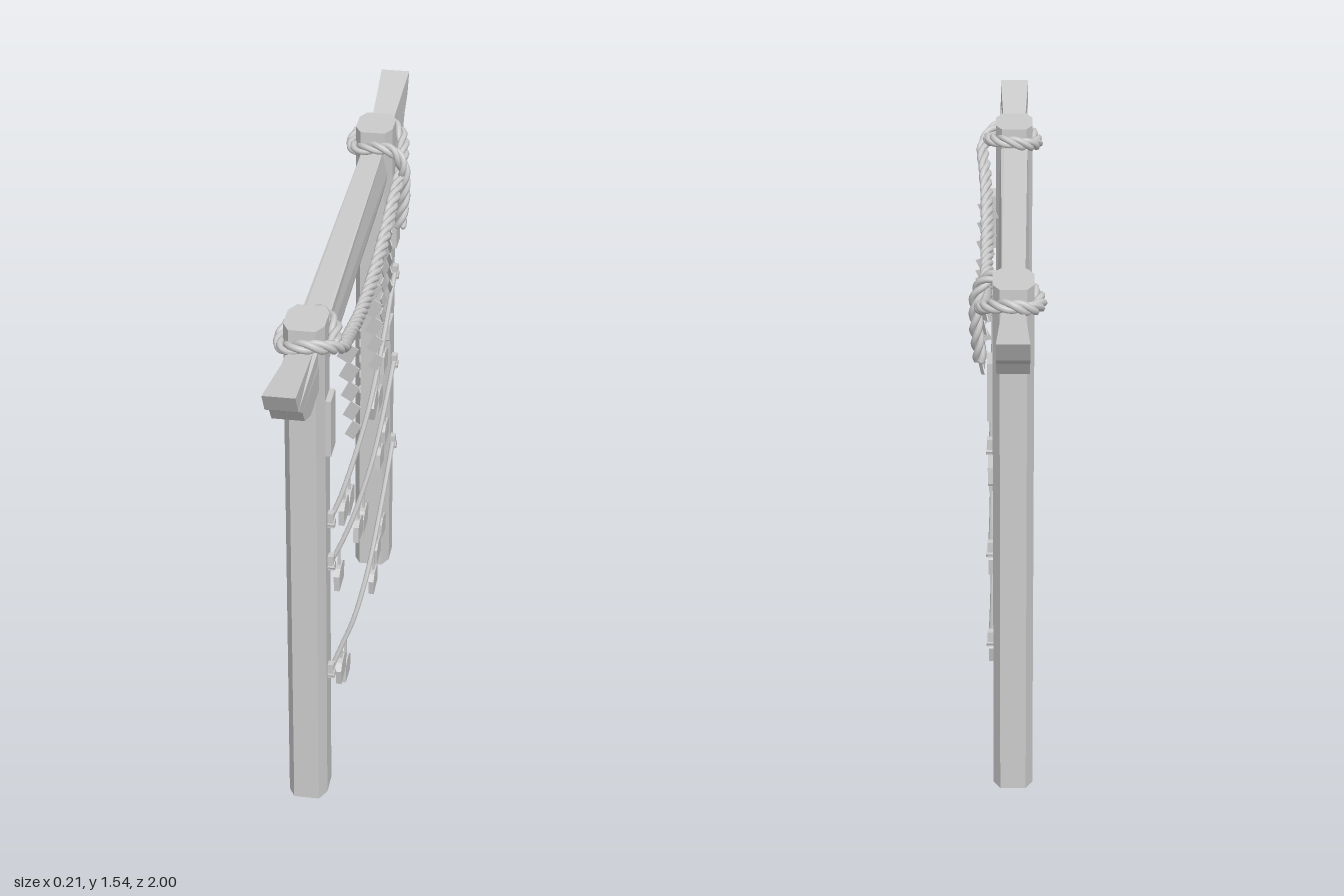
import * as THREE from 'three';

const V = (x, y, z) => new THREE.Vector3(x, y, z);
const CX = -0.015; // centre of posts and beam in x

export function createModel() {
  const root = new THREE.Group();
  const flat = new THREE.MeshStandardMaterial({ color: 0xcccccc, flatShading: true });
  const smooth = new THREE.MeshStandardMaterial({ color: 0xcccccc });
  const thin = new THREE.MeshStandardMaterial({ color: 0xcccccc, flatShading: true, side: THREE.DoubleSide });

  function add(name, geo, mat = flat, parent = root) {
    const m = new THREE.Mesh(geo, mat);
    m.name = name;
    parent.add(m);
    return m;
  }
  const shapeOf = pts => new THREE.Shape(pts.map(p => new THREE.Vector2(p[0], p[1])));

  // Extrude a [z, y] outline along x, centred on x = 0
  function slab(pts, depth) {
    const g = new THREE.ExtrudeGeometry(shapeOf(pts.map(([z, y]) => [-z, y])), { depth, bevelEnabled: false });
    return g.translate(0, 0, -depth / 2).rotateY(Math.PI / 2);
  }

  // Posts with chamfered corners, each with a name board
  for (const s of [1, -1]) {
    const hx = 0.055, hz = 0.07, ix = 0.036, iz = 0.035;
    const g = new THREE.ExtrudeGeometry(
      shapeOf([[hx, -iz], [hx, iz], [ix, hz], [-ix, hz], [-hx, iz], [-hx, -iz], [-ix, -hz], [ix, -hz]]),
      { depth: 1.54, bevelEnabled: false });
    add('post', g.rotateX(-Math.PI / 2)).position.set(CX, 0, s * 0.602);
    add('nameBoard', new THREE.BoxGeometry(0.02, 0.17, 0.07)).position.set(0.045, 1.228, s * 0.602);
  }

  // Crossbeam: upswept, stepped ends that flare wider
  const half = [[0.68, 1.335], [0.79, 1.36], [0.875, 1.395], [0.905, 1.437], [0.965, 1.475], [1, 1.535], [0.67, 1.48]];
  const outline = [...half, ...half.map(([z, y]) => [-z, y]).reverse()];
  const beam = slab(outline, 2);
  const bp = beam.attributes.position;
  for (let i = 0; i < bp.count; i++) {
    bp.setX(i, bp.getX(i) * (Math.abs(bp.getZ(i)) > 0.75 ? 0.043 : 0.03));
  }
  beam.computeVertexNormals();
  add('crossbeam', beam).position.x = CX;

  // Heavy rope: wraps one post, sags across, wraps the other and hangs down
  const path = new THREE.CatmullRomCurve3([
    V(0.062, 1.48, 0.62), V(0.05, 1.5, 0.55), V(0.005, 1.51, 0.508), V(-0.055, 1.495, 0.525),
    V(-0.083, 1.475, 0.6), V(-0.06, 1.485, 0.67), V(-0.01, 1.505, 0.692), V(0.045, 1.495, 0.668),
    V(0.078, 1.462, 0.6), V(0.072, 1.42, 0.5), V(0.066, 1.38, 0.38), V(0.063, 1.338, 0.2),
    V(0.062, 1.322, 0), V(0.063, 1.338, -0.2), V(0.066, 1.385, -0.4), V(0.07, 1.445, -0.57),
    V(0.05, 1.488, -0.66), V(-0.01, 1.506, -0.7), V(-0.06, 1.49, -0.68), V(-0.085, 1.475, -0.6),
    V(-0.06, 1.485, -0.53), V(-0.005, 1.505, -0.505), V(0.05, 1.5, -0.5), V(0.08, 1.46, -0.497),
    V(0.085, 1.37, -0.502), V(0.075, 1.26, -0.495),
  ], false, 'centripetal');
  const rope = new THREE.Group();
  rope.name = 'rope';
  root.add(rope);
  const N = 320, turns = path.getLength() / 0.13;
  const frames = path.computeFrenetFrames(N, false);
  const centres = path.getSpacedPoints(N);
  for (let k = 0; k < 3; k++) {
    const pts = centres.map((c, i) => {
      const a = (i / N) * turns * Math.PI * 2 + (k / 3) * Math.PI * 2;
      return c.clone()
        .addScaledVector(frames.normals[i], 0.01 * Math.cos(a))
        .addScaledVector(frames.binormals[i], 0.01 * Math.sin(a));
    });
    const strand = new THREE.CatmullRomCurve3(pts);
    add('ropeStrand', new THREE.TubeGeometry(strand, 420, 0.0095, 7), smooth, rope);
    for (const p of [pts[0], pts[N]]) add('strandEnd', new THREE.SphereGeometry(0.0095, 7, 5), smooth, rope).position.copy(p);
  }

  // Zigzag paper streamers: [z, top y, length, turn about y]
  for (const [z, y, len, turn] of [
    [0.405, 1.36, 0.3, 1.3], [0.24, 1.33, 0.24, 0.15], [-0.015, 1.325, 0.29, 1.35],
    [-0.21, 1.335, 0.245, -0.2], [-0.32, 1.345, 0.215, 0.4],
  ]) {
    const tiers = 5, h = len / tiers, left = [], right = [];
    for (let i = 0; i < tiers; i++) {
      const c = -0.008 + 0.004 * i, w = 0.021 - 0.002 * i;
      left.push([c - w + 0.012, -i * h], [c - w - 0.012, -(i + 0.8) * h]);
      right.push([c + w + 0.012, -(i + 0.2) * h], [c + w - 0.012, -(i + 1) * h]);
    }
    const m = add('paperStreamer', slab([...left, ...right.reverse()], 0.003), thin);
    m.position.set(0.07, y, z);
    m.rotation.y = turn;
  }

  // Cords with end knots and hanging tablets; paths are [z, y], tablets [z, y, tilt]
  const cords = [
    {
      path: [[0.6, 0.92], [0.4, 0.88], [0.1, 0.86], [-0.1, 0.87], [-0.3, 0.92], [-0.45, 0.98], [-0.595, 1.05]],
      tags: [[0.38, 0.81, 0], [0.285, 0.783, 0.05], [-0.17, 0.83, 0.25], [-0.265, 0.793, -0.12], [-0.365, 0.865, -0.12], [-0.48, 0.915, Math.PI]],
    },
    {
      path: [[0.6, 0.78], [0.4, 0.717], [0.2, 0.672], [0, 0.648], [-0.15, 0.64], [-0.3, 0.655], [-0.45, 0.69], [-0.595, 0.735]],
      tags: [[0.465, 0.645, 0], [0.12, 0.575, -0.15], [0.02, 0.55, 0.05], [-0.3, 0.565, -0.15], [-0.4, 0.595, 0]],
    },
    {
      path: [[0.61, 0.42], [0.4, 0.36], [0.2, 0.305], [0.05, 0.29], [-0.1, 0.295], [-0.3, 0.343], [-0.45, 0.392], [-0.585, 0.445]],
      tags: [[0.435, 0.3, 0.1], [0.355, 0.243, -0.08], [-0.18, 0.19, 0.08], [-0.25, 0.255, 0], [-0.345, 0.28, -0.15]],
    },
  ];
  const tabletGeo = slab([[-0.04, -0.03], [0.04, -0.03], [0.044, 0.02], [0.022, 0.034], [-0.022, 0.034], [-0.044, 0.02]]
    .map(([z, y]) => [-z, y]), 0.016);

  for (const { path: p, tags } of cords) {
    const g = new THREE.Group();
    g.name = 'tabletCord';
    root.add(g);
    const curve = new THREE.CatmullRomCurve3(p.map(([z, y]) => V(0.047, y, z)));
    add('cord', new THREE.TubeGeometry(curve, 40, 0.0075, 6), smooth, g);
    for (const [z, y] of [p[0], p[p.length - 1]]) {
      add('knot', new THREE.BoxGeometry(0.02, 0.045, 0.022), flat, g).position.set(0.046, y, z);
      add('peg', new THREE.CylinderGeometry(0.013, 0.013, 0.022, 8).rotateZ(Math.PI / 2), flat, g).position.set(0.048, y - 0.012, z);
    }
    const samples = curve.getPoints(200);
    for (const [z, y, tilt] of tags) {
      const m = add('tablet', tabletGeo, flat, g);
      m.position.set(0.047, y, z);
      m.rotation.x = tilt;
      // String reaches up to the cord, or trails below a flipped tablet
      const near = samples.reduce((a, b) => (Math.abs(b.z - z) < Math.abs(a.z - z) ? b : a));
      const end = tilt > 3 ? y - 0.07 : near.y;
      const string = add('tabletString', new THREE.BoxGeometry(0.007, Math.abs(end - y), 0.008), flat, g);
      string.position.set(0.047, (end + y) / 2, z);
    }
  }
  return root;
}
